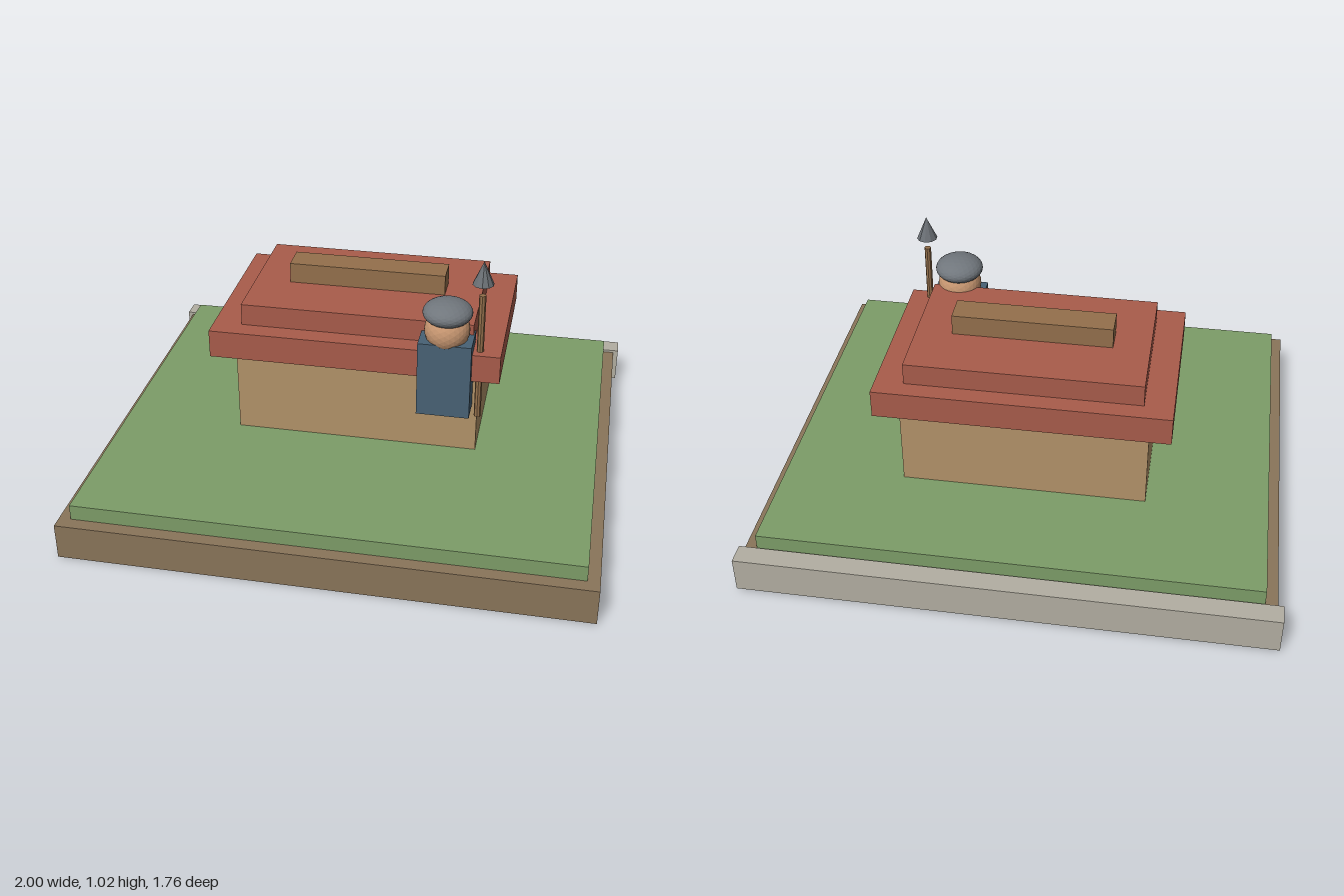
import * as THREE from 'three';

export function createModel() {
  const model = new THREE.Group();
  model.name = 'guardedHouse';

  const add = (parent, name, geometry, color, x, y, z) => {
    const mesh = new THREE.Mesh(geometry, new THREE.MeshStandardMaterial({ color, flatShading: true }));
    mesh.name = name;
    mesh.position.set(x, y, z);
    parent.add(mesh);
    return mesh;
  };
  // Box given by its limits on each axis
  const box = (parent, name, color, [x0, x1], [y0, y1], [z0, z1]) =>
    add(parent, name, new THREE.BoxGeometry(x1 - x0, y1 - y0, z1 - z0), color,
      (x0 + x1) / 2, (y0 + y1) / 2, (z0 + z1) / 2);

  // Ground: earth slab, lawn and a low stone wall along the back
  const ground = new THREE.Group();
  ground.name = 'ground';
  box(ground, 'earthSlab', 0x8a755a, [-0.98, 0.98], [0, 0.14], [-0.84, 0.88]);
  box(ground, 'lawn', 0x7d9d68, [-0.935, 0.935], [0.13, 0.2], [-0.79, 0.83]);
  box(ground, 'backWall', 0xb3afa2, [-1, 1], [0.01, 0.15], [-0.88, -0.8]);

  // House with a stepped roof
  const house = new THREE.Group();
  house.name = 'house';
  box(house, 'walls', 0xb39369, [-0.47, 0.47], [0.2, 0.55], [-0.38, 0.185]);
  box(house, 'lowerRoof', 0xa95c4b, [-0.555, 0.555], [0.545, 0.655], [-0.45, 0.255]);
  box(house, 'upperRoof', 0xa95c4b, [-0.445, 0.445], [0.65, 0.74], [-0.38, 0.18]);
  box(house, 'ridge', 0x94704c, [-0.305, 0.305], [0.735, 0.82], [-0.155, -0.045]);

  // Guard standing at the front corner
  const guard = new THREE.Group();
  guard.name = 'guard';
  guard.position.set(0.35, 0, 0.215);
  box(guard, 'body', 0x486275, [-0.1, 0.1], [0.4, 0.7], [-0.07, 0.07]);
  add(guard, 'head', new THREE.IcosahedronGeometry(0.085, 4), 0xc99872, 0, 0.735, 0);
  add(guard, 'helmet', new THREE.IcosahedronGeometry(0.093, 4), 0x70767c, 0, 0.805, 0).scale.y = 0.52;

  // Spear beside the guard
  const spear = new THREE.Group();
  spear.name = 'spear';
  spear.position.x = 0.125;
  add(spear, 'shaft', new THREE.CylinderGeometry(0.013, 0.013, 0.51, 8), 0x94704c, 0, 0.63, 0);
  add(spear, 'spearhead', new THREE.ConeGeometry(0.04, 0.09, 10), 0x6a6f74, 0, 0.975, 0);
  guard.add(spear);

  model.add(ground, house, guard);
  return model;
}
